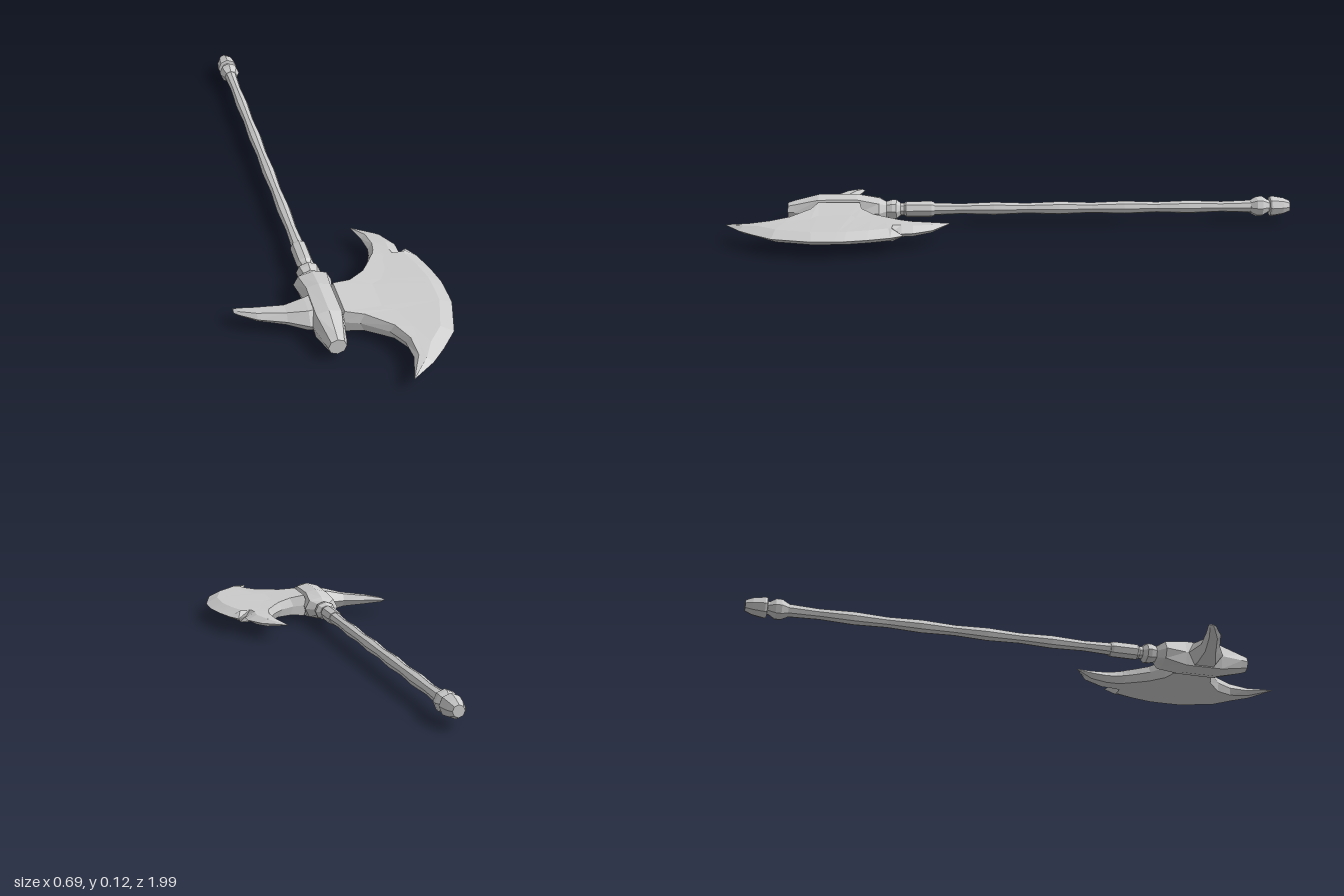
import * as THREE from 'three';

const AXIS_X = -0.067, AXIS_Y = 0.06;
const material = new THREE.MeshStandardMaterial({ color: 0xcccccc, flatShading: true });

// Skin a list of equal-sized closed rings ([x, y, z] points) and cap both ends.
function loft(rings) {
  const n = rings[0].length, index = [], pos = rings.flat(2);
  for (let i = 0; i < rings.length - 1; i++) {
    for (let j = 0; j < n; j++) {
      const a = i * n + j, b = i * n + (j + 1) % n;
      index.push(a, b, b + n, a, b + n, a + n);
    }
  }
  const last = (rings.length - 1) * n;
  for (let j = 1; j < n - 1; j++) {
    index.push(0, j + 1, j, last, last + j, last + j + 1);
  }
  // turn the faces outward if the rings run the other way
  const p = (i) => new THREE.Vector3().fromArray(pos, i * 3);
  let volume = 0;
  for (let i = 0; i < index.length; i += 3) {
    volume += p(index[i]).dot(p(index[i + 1]).cross(p(index[i + 2])));
  }
  if (volume < 0) index.reverse();
  const g = new THREE.BufferGeometry();
  g.setAttribute('position', new THREE.Float32BufferAttribute(pos, 3));
  g.setIndex(index);
  g.computeVertexNormals();
  return g;
}

// Eight-sided turned part along z; profile is [radius, z] from back to front.
function turned(profile) {
  const pts = profile.map(([r, z]) => new THREE.Vector2(r, z));
  return new THREE.LatheGeometry(pts, 8).rotateX(Math.PI / 2).translate(AXIS_X, AXIS_Y, 0);
}

function shaftProfile() {
  const pts = [];
  for (let i = 0; i <= 20; i++) {
    pts.push([0.0215 + 0.0022 * Math.cos(i * Math.PI / 2), -0.87 + i * 0.0585]);
  }
  return pts;
}

// Socket: octagonal rings [z, half width, half height, corner factor]
function socket() {
  return loft([
    [0.40, 0.024, 0.024, 0.71], [0.415, 0.04, 0.036, 0.71], [0.43, 0.04, 0.036, 0.71],
    [0.45, 0.032, 0.03, 0.71], [0.475, 0.064, 0.043, 0.75], [0.555, 0.05, 0.058, 0.8],
    [0.69, 0.052, 0.058, 0.8], [0.775, 0.036, 0.037, 0.71], [0.80, 0.03, 0.029, 0.71],
  ].map(([z, rx, ry, k]) => [
    [0, 1], [k, k], [1, 0], [k, -k], [0, -1], [-k, -k], [-1, 0], [-k, k],
  ].map(([u, v]) => [AXIS_X + u * rx, AXIS_Y + v * ry, z])));
}

// Spike: six-sided sections [x, back z, front z, half height]
function spike() {
  return loft([
    [-0.085, 0.55, 0.695, 0.046], [-0.125, 0.566, 0.69, 0.04], [-0.19, 0.58, 0.652, 0.025],
    [-0.28, 0.562, 0.618, 0.016], [-0.335, 0.548, 0.58, 0.008], [-0.348, 0.545, 0.568, 0.002],
  ].map(([x, z0, z1, h]) => {
    const a = z0 + (z1 - z0) * 0.2, b = z0 + (z1 - z0) * 0.75;
    return [[0, z0], [h, a], [h, b], [0, z1], [-h, b], [-h, a]]
      .map(([y, z]) => [x, AXIS_Y + y, z]);
  }));
}

// Blade thickness falls off from the socket towards the cutting edge.
function halfThickness(x) {
  if (x < 0.085) return THREE.MathUtils.mapLinear(x, -0.03, 0.085, 0.042, 0.03);
  return Math.max(0.022, THREE.MathUtils.mapLinear(x, 0.085, 0.21, 0.03, 0.022));
}

// Blade: sections from horn to horn,
// [inner x, inner z, outer x, outer z, thickness factor, optional bevel x, z]
function blade() {
  return loft([
    [0.131, 0.224, 0.133, 0.224, 0.05],
    [0.15, 0.29, 0.217, 0.28, 0.6],
    [0.157, 0.35, 0.254, 0.345, 0.85],
    [0.15, 0.385, 0.255, 0.385, 0.95],
    [0.142, 0.405, 0.242, 0.42, 1, 0.225, 0.43],    // notch
    [0.135, 0.42, 0.282, 0.376, 1, 0.268, 0.415],   // lip past the notch
    [0.115, 0.45, 0.307, 0.42, 1],
    [0.085, 0.49, 0.33, 0.495, 1],
    [0.03, 0.53, 0.345, 0.57, 1],
    [-0.03, 0.54, 0.346, 0.6, 1],
    [-0.03, 0.69, 0.346, 0.65, 1],
    [0.03, 0.71, 0.345, 0.68, 1],
    [0.11, 0.77, 0.307, 0.815, 1],
    [0.143, 0.83, 0.25, 0.885, 0.9],
    [0.148, 0.9, 0.2, 0.937, 0.6],
    [0.121, 0.992, 0.123, 0.993, 0.05],
  ].map(([ix, iz, ox, oz, t, bx, bz]) => {
    const inner = new THREE.Vector2(ix, iz), outer = new THREE.Vector2(ox, oz);
    const w = inner.distanceTo(outer);
    const a = inner.clone().lerp(outer, Math.min(0.015 / w, 0.25));
    const c = bx ? new THREE.Vector2(bx, bz) : outer.clone().lerp(inner, Math.min(0.045 / w, 0.35));
    const b = a.clone().lerp(c, 0.4);
    const at = (p, s) => [p.x, AXIS_Y + s * t * halfThickness(p.x), p.y];
    return [at(inner, 0), at(a, 1), at(b, 1), at(c, 1),
      at(outer, 0), at(c, -1), at(b, -1), at(a, -1)];
  }));
}

export function createModel() {
  const model = new THREE.Group();
  const add = (name, geometry) => {
    const mesh = new THREE.Mesh(geometry, material);
    mesh.name = name;
    model.add(mesh);
  };
  add('shaft', turned(shaftProfile()));
  add('pommel', turned([
    [0, -1], [0.02, -1], [0.031, -0.975], [0.038, -0.935], [0.036, -0.928], [0.023, -0.926],
    [0.024, -0.92], [0.037, -0.9], [0.037, -0.88], [0.025, -0.858], [0, -0.858],
  ]));
  add('ferrule', turned([
    [0, 0.28], [0.026, 0.28], [0.029, 0.29], [0.029, 0.38], [0.023, 0.388], [0.023, 0.41], [0, 0.41],
  ]));
  add('socket', socket());
  add('spike', spike());
  add('blade', blade());
  return model;
}
